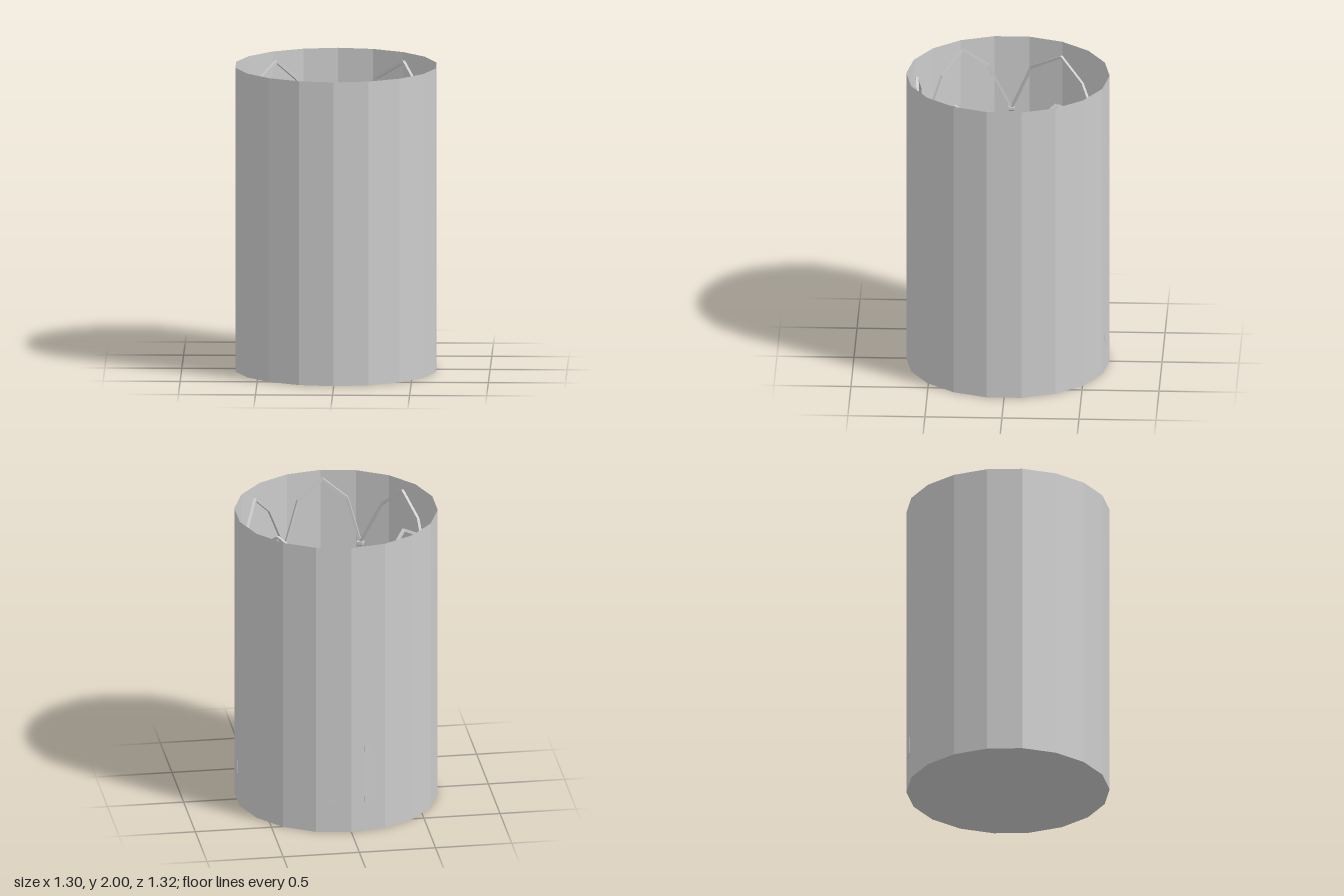
import * as THREE from 'three';

const SIDES = 18, FLOOR = 0.2, POST_TOP = 1.53;

export function createModel() {
  const group = new THREE.Group();
  const grey = new THREE.MeshStandardMaterial({ color: 0xcccccc, flatShading: true, side: THREE.DoubleSide });
  grey.name = 'plain grey';

  const add = (name, geometry, x = 0, y = 0, z = 0, parent = group) => {
    const mesh = new THREE.Mesh(geometry, grey);
    mesh.name = name;
    mesh.position.set(x, y, z);
    parent.add(mesh);
    return mesh;
  };
  const lathe = (points, sides) =>
    new THREE.LatheGeometry(points.map(([r, y]) => new THREE.Vector2(r, y)), sides);

  // Open-topped drum with a closed bottom
  add('outerWall', new THREE.CylinderGeometry(0.66, 0.66, 2, SIDES, 1, true), 0, 1, 0);
  add('bottom', new THREE.CircleGeometry(0.66, SIDES).rotateZ(Math.PI / 2).rotateX(Math.PI / 2));
  add('innerFloor', new THREE.CircleGeometry(0.655, SIDES).rotateZ(Math.PI / 2).rotateX(-Math.PI / 2), 0, FLOOR, 0);

  // Raised arena with a shallow dish
  add('arena', lathe([[0.54, 0.2], [0.54, 0.22], [0.42, 0.22], [0.33, 0.205], [0, 0.205]], SIDES));

  // Markings on the dish and rim
  const plate = (name, r, y, z) => add(name, new THREE.CylinderGeometry(r, r, 0.006, SIDES), 0, y, z);
  plate('outerCircle', 0.235, 0.207, 0);
  plate('innerCircle', 0.138, 0.211, 0);
  add('centreLine', new THREE.BoxGeometry(0.03, 0.006, 0.47), 0, 0.214, 0);
  for (const z of [-0.475, 0.475]) plate('endSpot', 0.05, 0.222, z);

  // Square tapered posts, each turned to face the centre
  const profile = [[0, FLOOR], [0.042, FLOOR], [0.03, 1.44], [0.014, 1.465], [0.014, 1.5], [0.021, 1.51], [0.021, POST_TOP], [0, POST_TOP]]
    .map(([half, y]) => [half * Math.SQRT2, y]);
  const postGeometry = lathe(profile, 4).rotateY(Math.PI / 4);
  for (const [x, z] of [[-0.605, 0], [0.61, 0], [-0.12, -0.6], [0.1, -0.6], [-0.245, 0.55], [0.25, 0.55]]) {
    add('post', postGeometry, x, 0, z).rotation.y = Math.atan2(x, z);
  }

  // Arches from post to post, bowed along the wall; the back gap stays open
  const heights = [1.52, 1.83, 1.965, 1.83, 1.52];
  const plans = [
    [[-0.6, 0], [-0.543, -0.13], [-0.394, -0.33], [-0.268, -0.47], [-0.12, -0.6]],
    [[0.1, -0.6], [0.247, -0.503], [0.432, -0.33], [0.525, -0.155], [0.61, 0]],
    [[0.61, 0], [0.56, 0.14], [0.48, 0.325], [0.37, 0.44], [0.25, 0.55]],
    [[-0.6, 0], [-0.56, 0.15], [-0.484, 0.315], [-0.37, 0.44], [-0.245, 0.55]],
    [[-0.245, 0.55], [-0.16, 0.575], [0, 0.59], [0.16, 0.575], [0.25, 0.55]],
  ];
  for (const plan of plans) {
    const arch = new THREE.Group();
    arch.name = 'arch';
    group.add(arch);
    const points = plan.map(([x, z], i) => new THREE.Vector3(x, heights[i], z));
    for (let i = 0; i < points.length - 1; i++) {
      const a = points[i], b = points[i + 1], mid = a.clone().lerp(b, 0.5);
      const bar = add('archBar', new THREE.BoxGeometry(0.018, 0.018, a.distanceTo(b) + 0.006), mid.x, mid.y, mid.z, arch);
      bar.lookAt(b);
    }
  }

  return group;
}
